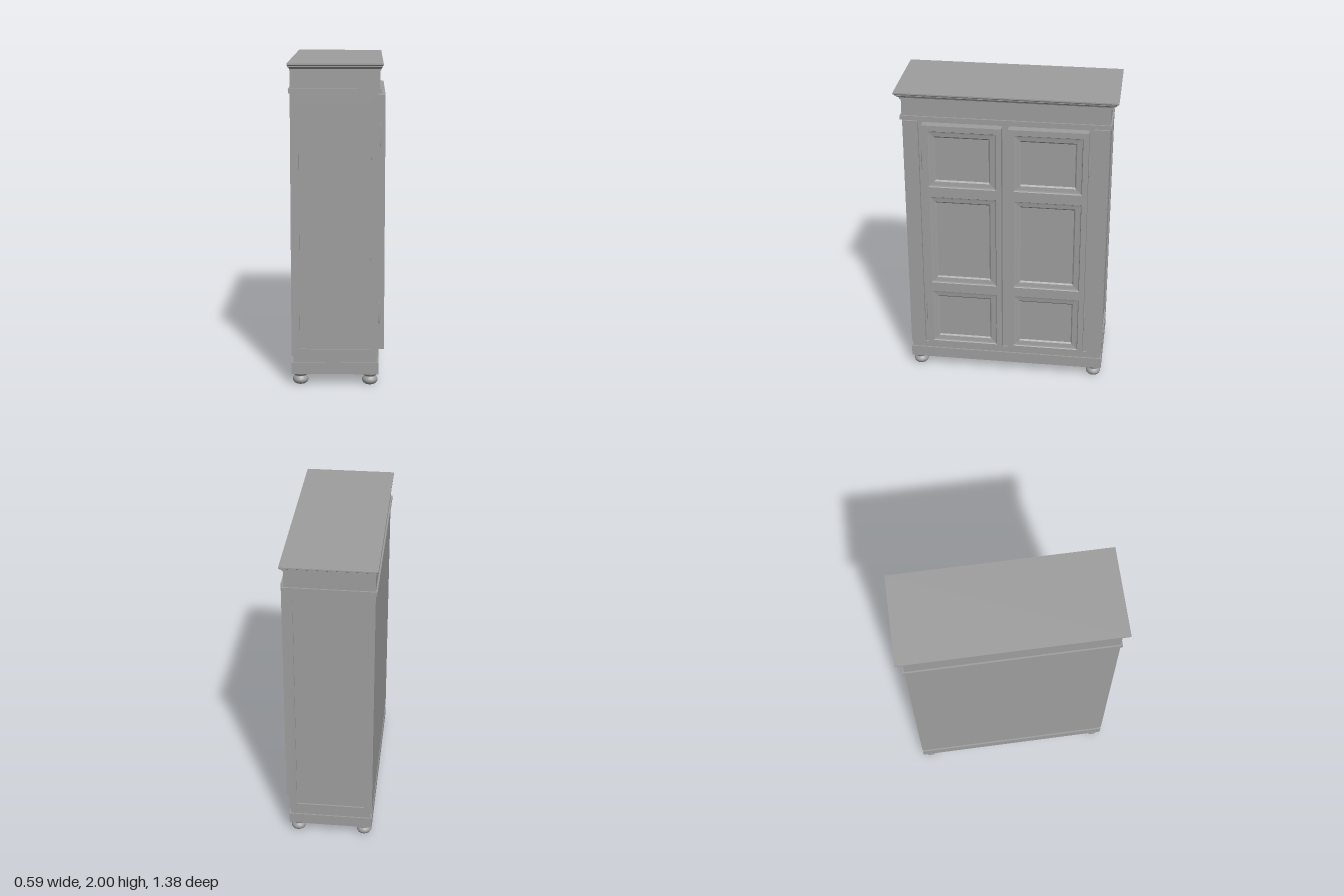
import * as THREE from 'three';

const grey = new THREE.MeshStandardMaterial({ color: 0x9e9e9e });

function add(parent, name, geometry) {
  const mesh = new THREE.Mesh(geometry, grey);
  mesh.name = name;
  parent.add(mesh);
  return mesh;
}

// Box given by its limits on each axis
function box(parent, name, x0, x1, y0, y1, z0, z1) {
  const mesh = add(parent, name, new THREE.BoxGeometry(x1 - x0, y1 - y0, z1 - z0));
  mesh.position.set((x0 + x1) / 2, (y0 + y1) / 2, (z0 + z1) / 2);
  return mesh;
}

// Rectangular rings [halfWidth, halfHeight, z] joined in order; the last one is capped
function rectLoft(rings, capStart = false) {
  const corners = rings.map(([a, b, z]) => [[-a, -b, z], [a, -b, z], [a, b, z], [-a, b, z]]);
  const pos = [];
  const quad = (a, b, c, d) => pos.push(...a, ...b, ...c, ...a, ...c, ...d);
  for (let i = 0; i + 1 < corners.length; i++) {
    const p = corners[i], q = corners[i + 1];
    for (let k = 0; k < 4; k++) quad(p[k], p[(k + 1) % 4], q[(k + 1) % 4], q[k]);
  }
  quad(...corners[corners.length - 1]);
  if (capStart) quad(...corners[0].slice().reverse());
  const geometry = new THREE.BufferGeometry();
  geometry.setAttribute('position', new THREE.Float32BufferAttribute(pos, 3));
  geometry.computeVertexNormals();
  return geometry;
}

function rectPath(path, x0, x1, y0, y1) {
  path.moveTo(x0, y0);
  path.lineTo(x1, y0);
  path.lineTo(x1, y1);
  path.lineTo(x0, y1);
  path.closePath();
  return path;
}

// Flat board with rectangular openings, each limit list being [x0, x1, y0, y1]
function frame(outer, holes, depth) {
  const shape = rectPath(new THREE.Shape(), ...outer);
  for (const hole of holes) shape.holes.push(rectPath(new THREE.Path(), ...hole));
  return new THREE.ExtrudeGeometry(shape, { depth, bevelEnabled: false });
}

function lathe(points, segments) {
  return new THREE.LatheGeometry(points.map(([r, y]) => new THREE.Vector2(r, y)), segments);
}

// Door with three moulded panels, built facing +z and turned to face +x
function makeDoor(side) {
  const door = new THREE.Group();
  door.name = side > 0 ? 'leftDoor' : 'rightDoor';
  const w = 0.248, pw = 0.214, depth = 0.055;
  const rows = [[0.229, 0.616], [0.682, 1.311], [1.38, 1.763]];
  add(door, 'doorFrame', frame([-w, w, 0.197, 1.8], rows.map(([a, b]) => [-pw, pw, a, b]), depth));
  const profile = [[0, 0], [0.004, -0.006], [0.012, -0.008], [0.037, -0.011], [0.041, -0.014], [0.046, -0.019]];
  for (const [y0, y1] of rows) {
    const rings = profile.map(([inset, z]) => [pw - inset, (y1 - y0) / 2 - inset, z]);
    add(door, 'doorPanel', rectLoft(rings)).position.set(0, (y0 + y1) / 2, depth);
  }
  door.rotation.y = Math.PI / 2;
  door.position.set(0.24, 0, side * 0.269);
  return door;
}

export function createModel() {
  const wardrobe = new THREE.Group();
  wardrobe.name = 'wardrobe';

  // Base and carcass
  box(wardrobe, 'plinth', -0.28, 0.26, 0.072, 0.146, -0.643, 0.643);
  box(wardrobe, 'plinthStep', -0.27, 0.251, 0.146, 0.187, -0.635, 0.635);
  box(wardrobe, 'carcass', -0.28, 0.24, 0.187, 1.823, -0.633, 0.633);

  // Side frames around sunken panels, and front corner posts
  for (const side of [1, -1]) {
    const sideFrame = add(wardrobe, 'sideFrame',
      frame([-0.28, 0.25, 0.187, 1.823], [[-0.228, 0.209, 0.232, 1.762]], 0.01));
    sideFrame.position.z = side > 0 ? 0.633 : -0.643;
    const z = side * 0.592;
    box(wardrobe, 'cornerPost', 0.235, 0.26, 0.187, 1.811, z - 0.047, z + 0.047);
  }

  // Belt moulding, frieze and stepped cornice
  box(wardrobe, 'beltMoulding', -0.29, 0.27, 1.821, 1.848, -0.653, 0.653);
  box(wardrobe, 'frieze', -0.28, 0.26, 1.848, 1.965, -0.643, 0.643);
  const steps = [[0, 1.957], [0.2, 1.957], [0.2, 1.966], [0.4, 1.973],
    [0.75, 1.98], [0.75, 1.985], [1, 1.992], [1, 2]];
  const cornice = add(wardrobe, 'cornice',
    rectLoft(steps.map(([t, y]) => [0.271 + 0.0165 * t, 0.643 + 0.046 * t, y]), true));
  cornice.rotation.x = -Math.PI / 2;
  cornice.position.x = -0.0075;

  // Doors and hinges
  const hinge = lathe([[0, -0.073], [0.003, -0.07], [0.004, -0.06], [0.007, -0.05],
    [0.007, 0.05], [0.004, 0.06], [0.003, 0.07], [0, 0.073]], 16);
  for (const side of [1, -1]) {
    wardrobe.add(makeDoor(side));
    for (const y of [0.439, 1.561]) add(wardrobe, 'hinge', hinge).position.set(0.265, y, side * 0.522);
  }

  // Turned bun feet
  const foot = lathe([[0, 0], [0.032, 0], [0.042, 0.008], [0.048, 0.02], [0.048, 0.03], [0.042, 0.042],
    [0.034, 0.049], [0.034, 0.053], [0.041, 0.056], [0.041, 0.062], [0.047, 0.064], [0.047, 0.073]], 32);
  for (const x of [-0.227, 0.207]) {
    for (const z of [-0.59, 0.59]) add(wardrobe, 'foot', foot).position.set(x, 0, z);
  }
  return wardrobe;
}
